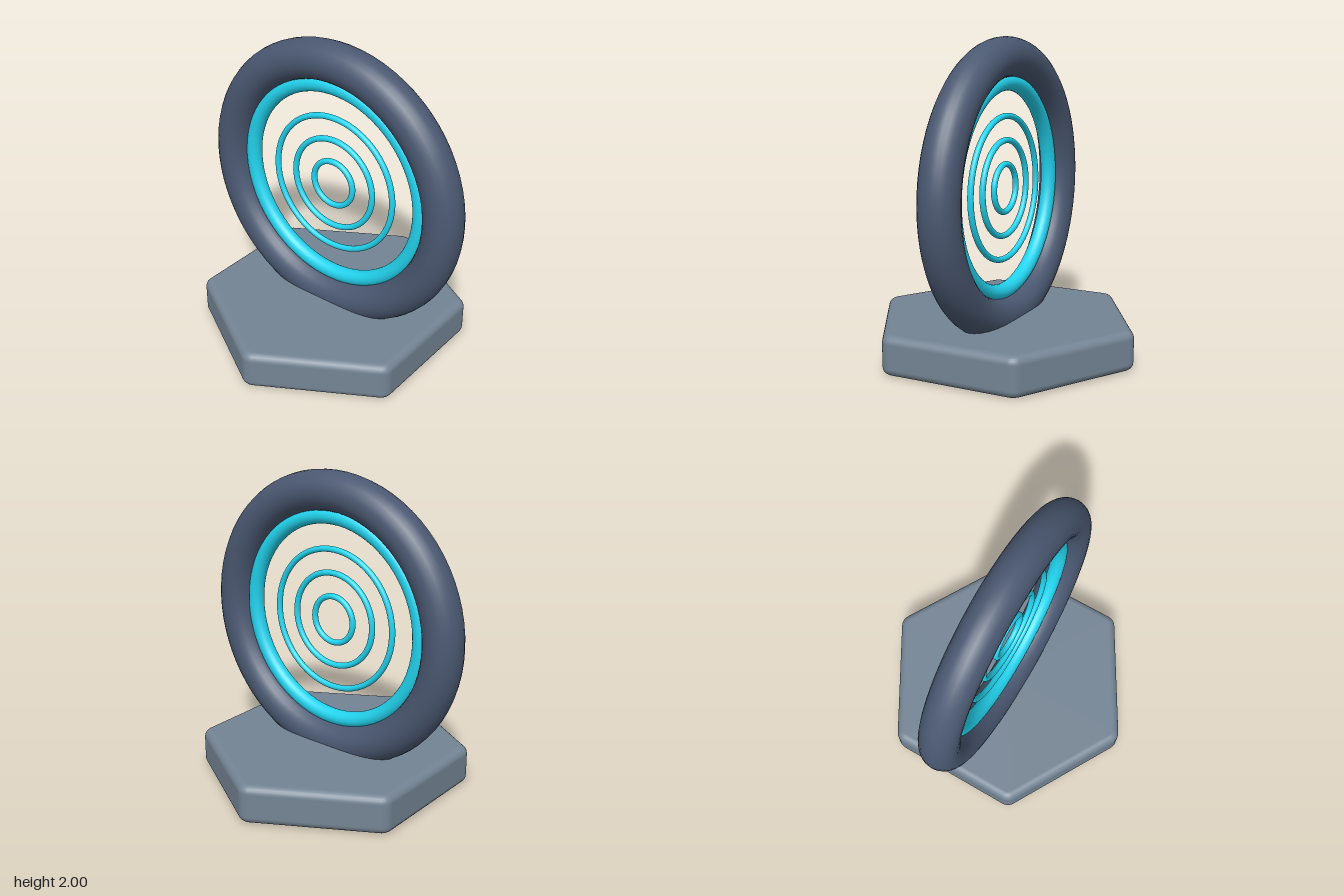
import * as THREE from 'three';

const slate = new THREE.MeshStandardMaterial({ color: 0x748494 });
const navy = new THREE.MeshStandardMaterial({ color: 0x4a5871 });
const cyan = new THREE.MeshStandardMaterial({ color: 0x22d3ee });

// Hexagonal slab standing on y = 0, with rounded corners and rounded rims
function roundedHexagon(apothem, height, cornerRadius, bevel, steps = 6) {
  const core = (apothem - cornerRadius) / Math.cos(Math.PI / 6);

  // Outline: corner centre plus outward direction, six arcs
  const outline = [];
  for (let k = 0; k < 6; k++) {
    const mid = Math.PI / 2 + k * Math.PI / 3;
    for (let s = 0; s <= steps; s++) {
      const a = mid + (s / steps - 0.5) * Math.PI / 3;
      outline.push({ cx: core * Math.cos(mid), cz: core * Math.sin(mid), nx: Math.cos(a), nz: Math.sin(a) });
    }
  }

  // Rows from bottom centre, round the lower rim, up the wall, to top centre
  const rows = [{ phi: -Math.PI / 2, y: 0, centre: true }];
  for (const side of [-1, 1]) {
    for (let s = 0; s <= steps; s++) {
      const phi = (s / steps + (side < 0 ? -1 : 0)) * Math.PI / 2;
      rows.push({ phi, y: height / 2 + side * (height / 2 - bevel) + bevel * Math.sin(phi) });
    }
  }
  rows.push({ phi: Math.PI / 2, y: height, centre: true });

  const positions = [], normals = [], index = [];
  const n = outline.length;
  rows.forEach(({ phi, y, centre }, j) => {
    const c = Math.cos(phi);
    const reach = cornerRadius - bevel + bevel * c;
    outline.forEach(({ cx, cz, nx, nz }, i) => {
      positions.push(centre ? 0 : cx + nx * reach, y, centre ? 0 : cz + nz * reach);
      normals.push(nx * c, Math.sin(phi), nz * c);
      if (j === rows.length - 1) return;
      const a = j * n + i, b = j * n + (i + 1) % n;
      index.push(a, a + n, b, b, a + n, b + n);
    });
  });

  const geometry = new THREE.BufferGeometry();
  geometry.setAttribute('position', new THREE.Float32BufferAttribute(positions, 3));
  geometry.setAttribute('normal', new THREE.Float32BufferAttribute(normals, 3));
  geometry.setIndex(index);
  return geometry;
}

export function createModel() {
  const group = new THREE.Group();

  const base = new THREE.Mesh(roundedHexagon(0.76, 0.25, 0.08, 0.05), slate);
  base.name = 'base';
  group.add(base);

  // Upright concentric rings sharing one centre
  const addRing = (name, radius, tube, material) => {
    const ring = new THREE.Mesh(new THREE.TorusGeometry(radius, tube, 24, 72), material);
    ring.name = name;
    ring.position.y = 1.06;
    group.add(ring);
  };
  addRing('outerFrame', 0.815, 0.125, navy);
  addRing('innerRim', 0.658, 0.05, cyan);
  for (let i = 1; i <= 3; i++) addRing('rippleRing' + i, 0.1505 * i, 0.019, cyan);

  return group;
}
